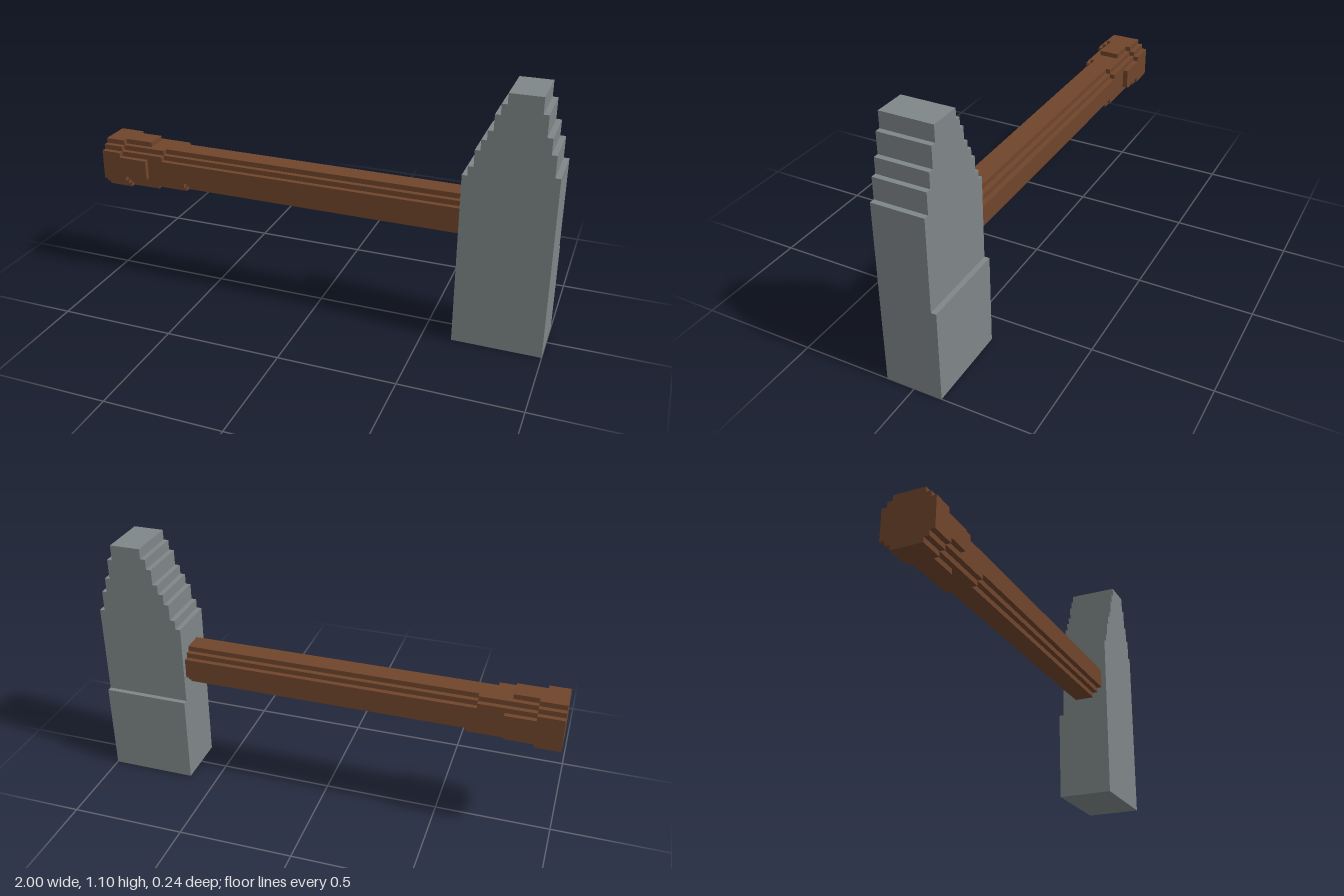
import * as THREE from 'three';

const U = 0.022;          // width of one step
const CY = 0.551, CZ = 0.01; // handle axis

// Quarter cross-sections of the handle, as outline steps [y, z] in units of U
const SECTIONS = {
  pommel: [[5, 0], [5, 3], [4, 3], [4, 4], [3, 4], [3, 5], [0, 5]],
  grip: [[4, 0], [4, 3], [3, 3], [3, 4], [0, 4]],
  shaft: [[4, 0], [4, 2], [3, 2], [3, 3], [2, 3], [2, 4], [0, 4]],
};

export function createModel() {
  const group = new THREE.Group();
  const wood = new THREE.MeshStandardMaterial({ color: 0x70452c });
  wood.name = 'brown wood';
  const steel = new THREE.MeshStandardMaterial({ color: 0x7f8688 });
  steel.name = 'grey steel';

  const add = (parent, name, geometry, material) => {
    const mesh = new THREE.Mesh(geometry, material);
    mesh.name = name;
    parent.add(mesh);
    return mesh;
  };
  const box = (parent, name, material, x0, x1, y0, y1, z0, z1) =>
    add(parent, name, new THREE.BoxGeometry(x1 - x0, y1 - y0, z1 - z0), material)
      .position.set((x0 + x1) / 2, (y0 + y1) / 2, (z0 + z1) / 2);

  // Head: stepped wedge profile extruded through z
  const left = [0.75, 0.79, 0.86, 0.905, 0.945, 1.012, 1.056, 1.1];
  const right = [0.79, 0.88, 0.945, 1.033, 1.1];
  const profile = [[0.625, 0]];
  left.forEach((y, i) => {
    const x = 0.625 + i * U;
    if (i > 0) profile.push([x, left[i - 1]]);
    profile.push([x, y]);
  });
  for (let i = right.length - 1; i >= 0; i--) {
    const x = 1 - i * U;
    profile.push([x, right[i]]);
    if (i > 0) profile.push([x, right[i - 1]]);
  }
  profile.push([1, 0]);
  const head = new THREE.Group();
  head.name = 'head';
  const headShape = new THREE.Shape(profile.map(([x, y]) => new THREE.Vector2(x, y)));
  const headGeo = new THREE.ExtrudeGeometry(headShape, { depth: 0.219, bevelEnabled: false });
  headGeo.translate(0, 0, -0.098);
  add(head, 'headWedge', headGeo, steel);
  box(head, 'strikingBlockBack', steel, 0.625, 1, 0, 0.396, -0.12, -0.098);
  group.add(head);

  // Handle: four quarters, each with its own pommel and grip length
  const handle = new THREE.Group();
  handle.name = 'handle';
  const quarter = (section, sy, sz, x0, x1) => {
    const pts = [[0, 0], ...SECTIONS[section]].map(
      ([y, z]) => new THREE.Vector2(-sz * z * U, sy * y * U));
    const geo = new THREE.ExtrudeGeometry(new THREE.Shape(pts), { depth: x1 - x0, bevelEnabled: false });
    geo.rotateY(Math.PI / 2).translate(x0, CY, CZ);
    add(handle, section, geo, wood);
  };
  const corners = [
    { sy: 1, sz: 1, pommel: -0.912, grip: -0.714 },
    { sy: -1, sz: 1, pommel: -0.89, grip: -0.61 },
    { sy: 1, sz: -1, pommel: -0.89, grip: -0.65 },
    { sy: -1, sz: -1, pommel: -0.89, grip: -0.61 },
  ];
  for (const { sy, sz, pommel, grip } of corners) {
    quarter('pommel', sy, sz, -1, pommel);
    quarter('grip', sy, sz, pommel, grip);
    quarter('shaft', sy, sz, grip, 0.63);
  }

  // Raised pads running on from the pommel, one on each side
  const pad = (name, x1, y0, y1, z0, z1) =>
    box(handle, name, wood, -0.95, x1, CY + y0 * U, CY + y1 * U, CZ + z0 * U, CZ + z1 * U);
  pad('topPad', -0.785, 4, 5, -2, 2);
  pad('bottomPad', -0.762, -5, -4, -2, 2);
  pad('frontPad', -0.785, -2, 2, 4, 5);
  pad('backPad', -0.762, -2, 2, -5, -4);
  group.add(handle);

  return group;
}
